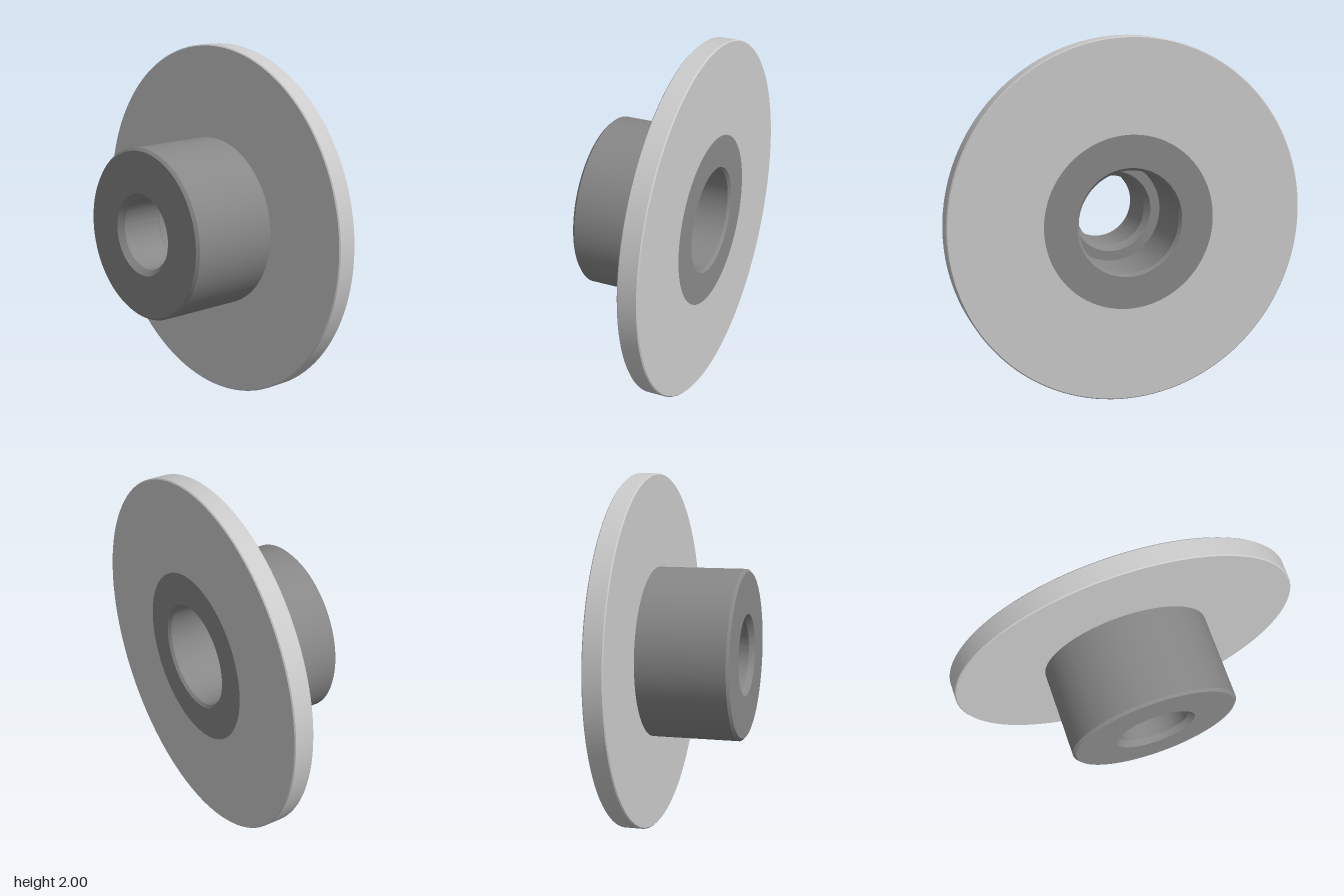
import * as THREE from 'three';
import { toCreasedNormals } from 'three/addons/utils/BufferGeometryUtils.js';

// Closed [radius, z] profile, outside edge running toward +z, turned about the z axis
function turned(name, profile, color) {
  const points = [...profile, profile[0]].map(([r, z]) => new THREE.Vector2(r, z));
  const lathe = new THREE.LatheGeometry(points, 128).rotateX(Math.PI / 2);
  const mesh = new THREE.Mesh(toCreasedNormals(lathe, 0.4), new THREE.MeshStandardMaterial({ color }));
  mesh.name = name;
  mesh.position.y = 1;
  return mesh;
}

export function createModel() {
  const model = new THREE.Group();
  model.name = 'flangedWheel';

  // Flat disc with slightly eased rims, fitted around the hub
  model.add(turned('disc', [
    [0.48, -0.312], [0.994, -0.312], [1, -0.306],
    [1, -0.206], [0.994, -0.2], [0.48, -0.2],
  ], 0xcccccc));

  // Hub with a chamfered nose, a narrow front hole and a wide rear bore
  model.add(turned('hub', [
    [0.3, -0.312], [0.48, -0.312], [0.48, 0.297], [0.465, 0.312],
    [0.23, 0.312], [0.2, 0.282],
    [0.2, 0.04], [0.23, 0.01],
    [0.285, 0.01], [0.285, -0.297],
  ], 0x888888));

  return model;
}
